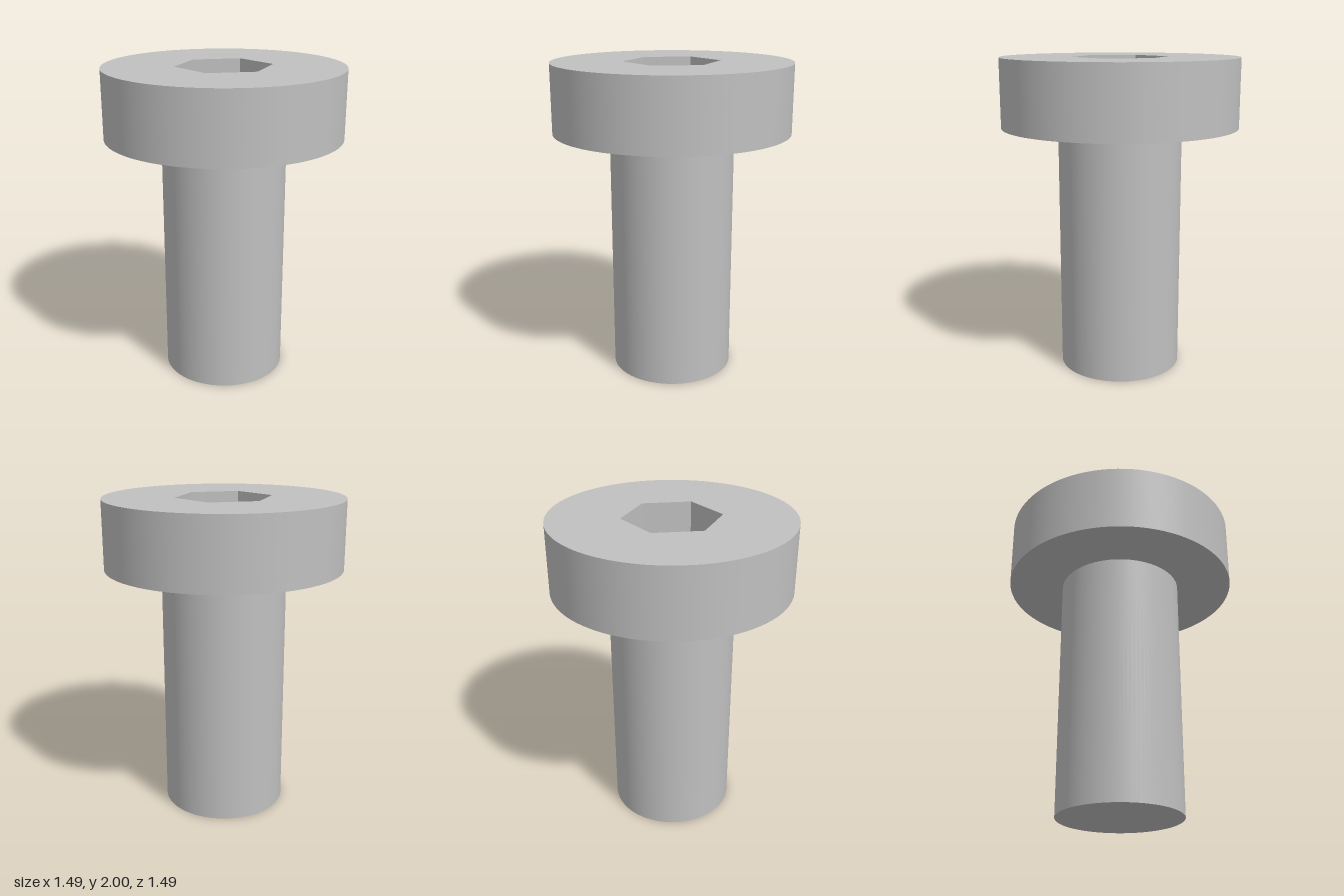
import * as THREE from 'three';

const HEAD_R = 0.743, SHAFT_R = 0.39, HEX_R = 0.303;
const TOP = 2, HEAD_BOTTOM = 1.57, SOCKET_DEPTH = 0.26, SEGMENTS = 96;

export function createModel() {
  const steel = new THREE.MeshStandardMaterial({ color: 0xc0c0c0 });
  steel.name = 'steel';

  const bolt = new THREE.Group();
  bolt.name = 'socketHeadBolt';

  const add = (parent, name, geometry, y = 0) => {
    const mesh = new THREE.Mesh(geometry, steel);
    mesh.name = name;
    mesh.position.y = y;
    parent.add(mesh);
    return mesh;
  };
  const tube = (r, h) => new THREE.CylinderGeometry(r, r, h, SEGMENTS, 1, true);
  const faceUp = (g) => g.rotateX(-Math.PI / 2);
  const faceDown = (g) => g.rotateX(Math.PI / 2);

  // Shaft with a flat end
  const shaft = new THREE.Group();
  shaft.name = 'shaft';
  add(shaft, 'shaftSide', tube(SHAFT_R, HEAD_BOTTOM), HEAD_BOTTOM / 2);
  add(shaft, 'shaftEnd', faceDown(new THREE.CircleGeometry(SHAFT_R, SEGMENTS)));

  // Head: side, underside ring and top with a hexagonal opening
  const head = new THREE.Group();
  head.name = 'head';
  add(head, 'headSide', tube(HEAD_R, TOP - HEAD_BOTTOM), (TOP + HEAD_BOTTOM) / 2);
  add(head, 'headUnderside', faceDown(new THREE.RingGeometry(SHAFT_R, HEAD_R, SEGMENTS)), HEAD_BOTTOM);

  const corners = Array.from({ length: 6 }, (_, i) => {
    const a = (i * Math.PI) / 3;
    return new THREE.Vector2(HEX_R * Math.cos(a), HEX_R * Math.sin(a));
  });
  const topShape = new THREE.Shape().absarc(0, 0, HEAD_R, 0, Math.PI * 2);
  topShape.holes.push(new THREE.Path(corners.slice().reverse()));
  add(head, 'headTop', faceUp(new THREE.ShapeGeometry(topShape, SEGMENTS)), TOP);

  // Hex socket: six inward-facing walls and a floor
  const socket = new THREE.Group();
  socket.name = 'hexSocket';
  const apothem = HEX_R * Math.cos(Math.PI / 6);
  for (let i = 0; i < 6; i++) {
    const wall = new THREE.PlaneGeometry(HEX_R, SOCKET_DEPTH)
      .translate(0, 0, -apothem)
      .rotateY((i * Math.PI) / 3);
    add(socket, 'socketWall', wall, TOP - SOCKET_DEPTH / 2);
  }
  add(socket, 'socketFloor', faceUp(new THREE.CircleGeometry(HEX_R, 6)), TOP - SOCKET_DEPTH);

  head.add(socket);
  bolt.add(shaft, head);
  return bolt;
}
